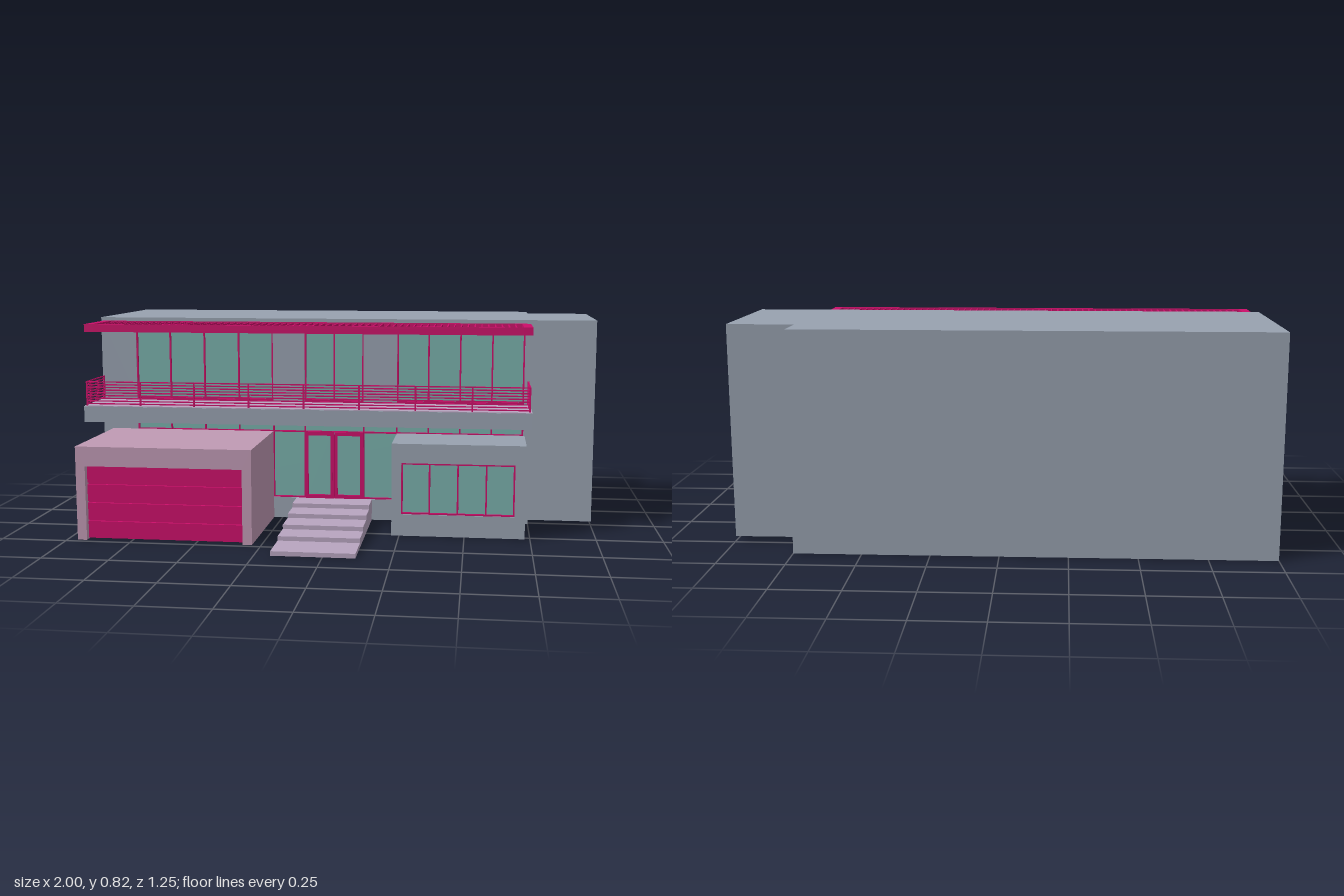
import * as THREE from 'three';

const mat = (color) => new THREE.MeshStandardMaterial({ color });
const wall = mat(0x98a2b0), glass = mat(0x79b0ab), crimson = mat(0xcc0e6a);
const mauve = mat(0xc09ab4), lilac = mat(0xb8a5c0);
const SKIN = 0.03; // thickness of the pierced facade panels
const RECESS = 0.012; // how far the glass sits behind the wall face

// Box given by its two opposite corners
function box(parent, name, material, x0, x1, y0, y1, z0, z1) {
  const mesh = new THREE.Mesh(new THREE.BoxGeometry(x1 - x0, y1 - y0, z1 - z0), material);
  mesh.position.set((x0 + x1) / 2, (y0 + y1) / 2, (z0 + z1) / 2);
  mesh.name = name;
  parent.add(mesh);
  return mesh;
}

function group(parent, name) {
  const g = new THREE.Group();
  g.name = name;
  parent.add(g);
  return g;
}

const outline = (T, x0, x1, y0, y1) => new T([
  new THREE.Vector2(x0, y0), new THREE.Vector2(x1, y0),
  new THREE.Vector2(x1, y1), new THREE.Vector2(x0, y1),
]);

// Glass with a thin frame; xs lists the upright positions from edge to edge
function windowUnit(parent, name, xs, y0, y1, transoms = []) {
  const g = group(parent, name), t = 0.003;
  const x0 = xs[0], x1 = xs[xs.length - 1];
  box(g, 'glass', glass, x0, x1, y0, y1, -SKIN, -RECESS);
  xs.forEach((x) => {
    const c = Math.min(Math.max(x, x0 + t), x1 - t);
    box(g, 'mullion', crimson, c - t, c + t, y0, y1, -RECESS, -0.003);
  });
  [y0 + t, y1 - t, ...transoms].forEach((y) =>
    box(g, 'frameRail', crimson, x0, x1, y - t, y + t, -RECESS, -0.004));
}

// Wall panel in the xy plane with its face at z = 0, pierced for its windows
function facade(parent, name, rect, windows) {
  const g = group(parent, name);
  const shape = outline(THREE.Shape, ...rect);
  windows.forEach(({ xs, y0, y1, transoms }) => {
    shape.holes.push(outline(THREE.Path, xs[0], xs[xs.length - 1], y0, y1));
    windowUnit(g, 'window', xs, y0, y1, transoms);
  });
  const geo = new THREE.ExtrudeGeometry(shape, { depth: SKIN, bevelEnabled: false });
  const mesh = new THREE.Mesh(geo.translate(0, 0, -SKIN), wall);
  mesh.name = 'wallPanel';
  g.add(mesh);
  return g;
}

const split = (a, b, n) => Array.from({ length: n + 1 }, (_, i) => a + ((b - a) * i) / n);

export function createModel() {
  const house = new THREE.Group();
  house.name = 'house';

  // Main volume with its pierced front
  box(house, 'mainVolume', wall, -1, 0.75, 0, 0.82, -0.625, 0.02 - SKIN);
  const left = split(-0.855, -0.285, 4), right = split(0.22, 0.725, 4);
  facade(house, 'frontFacade', [-1, 0.75, 0, 0.82], [
    { xs: left, y0: 0.485, y1: 0.765 },
    { xs: split(-0.155, 0.085, 2), y0: 0.485, y1: 0.765 },
    { xs: right, y0: 0.485, y1: 0.765 },
    { xs: [...left, -0.155, 0.085, ...right], y0: 0.085, y1: 0.415, transoms: [0.36] },
  ]).position.z = 0.02;

  // Side wing, raised a little, with windows on its outer wall
  box(house, 'sideWing', wall, 0.74, 1 - SKIN, 0.018, 0.82, -0.485, 0.02);
  const side = facade(house, 'sideFacade', [-0.02, 0.485, 0.018, 0.82], [
    { xs: split(0.015, 0.445, 4), y0: 0.085, y1: 0.36 },
    { xs: split(0.015, 0.445, 4), y0: 0.485, y1: 0.765 },
  ]);
  side.rotation.y = Math.PI / 2;
  side.position.x = 1;

  // Front bay
  box(house, 'frontBay', wall, 0.22, 0.73, 0, 0.36, 0.02, 0.27 - SKIN);
  facade(house, 'bayFacade', [0.22, 0.73, 0, 0.36], [
    { xs: split(0.257, 0.69, 4), y0: 0.085, y1: 0.285 },
  ]).position.z = 0.27;

  // Garage shell, open below, with a sectional door
  const garage = group(house, 'garage');
  const arch = new THREE.Shape([
    [-0.96, 0], [-0.924, 0], [-0.924, 0.285], [-0.321, 0.285],
    [-0.321, 0], [-0.285, 0], [-0.285, 0.36], [-0.96, 0.36],
  ].map(([x, y]) => new THREE.Vector2(x, y)));
  const shell = new THREE.Mesh(
    new THREE.ExtrudeGeometry(arch, { depth: 0.46, bevelEnabled: false }), mauve);
  shell.position.z = 0.02;
  shell.name = 'garageShell';
  garage.add(shell);
  box(garage, 'doorBacking', crimson, -0.924, -0.321, 0.002, 0.285, 0.438, 0.446);
  for (let i = 0; i < 4; i++) {
    const y = i * 0.0713;
    box(garage, 'doorPanel', crimson, -0.924, -0.321, y + 0.003, y + 0.0683, 0.446, 0.456);
  }

  // Double entrance door
  const entrance = group(house, 'entranceDoor');
  [[-0.155, -0.035, -0.043], [-0.035, 0.085, -0.027]].forEach(([x0, x1, handleX]) => {
    const a = x0 + 0.014, b = x1 - 0.014;
    box(entrance, 'doorGlass', glass, a, b, 0.1, 0.345, 0.008, 0.014);
    [[x0 + 0.001, a, 0.085, 0.36], [b, x1 - 0.001, 0.085, 0.36],
      [a, b, 0.085, 0.1], [a, b, 0.345, 0.36]].forEach((r) =>
      box(entrance, 'doorFrame', crimson, ...r, 0.004, 0.022));
    box(entrance, 'handle', crimson, handleX - 0.003, handleX + 0.003, 0.16, 0.265, 0.026, 0.032);
    [0.175, 0.25].forEach((y) =>
      box(entrance, 'handleMount', crimson, handleX - 0.002, handleX + 0.002, y - 0.003, y + 0.003, 0.02, 0.027));
  });

  // Entrance steps
  const steps = group(house, 'entranceSteps');
  const edges = [0.02, 0.13, 0.24, 0.355, 0.467, 0.62];
  for (let i = 0; i < 5; i++) {
    box(steps, 'step', lilac, -0.19, 0.12, 0, 0.017 * (5 - i), edges[i], edges[i + 1]);
  }

  // Balcony slab and floor
  box(house, 'balconySlab', wall, -1, 0.75, 0.42, 0.482, 0.02, 0.255);
  box(house, 'balconyFloor', lilac, -0.998, 0.748, 0.482, 0.485, 0.02, 0.253);

  // Balcony railing: posts and horizontal bars round three sides
  const railing = group(house, 'balconyRailing');
  const rx0 = -0.99, rx1 = 0.74, rz0 = 0.036, rz1 = 0.244, r = 0.0022;
  const post = (x, z) => box(railing, 'railingPost', crimson, x - 0.003, x + 0.003, 0.485, 0.58, z - 0.003, z + 0.003);
  split(rx0, rx1, 8).forEach((x) => post(x, rz1));
  [rx0, rx1].forEach((x) => post(x, rz0));
  for (let i = 0; i < 9; i++) {
    const y = 0.492 + i * 0.0108;
    box(railing, 'frontBar', crimson, rx0, rx1, y - r, y + r, rz1 - r, rz1 + r);
    [rx0, rx1].forEach((x) =>
      box(railing, 'sideBar', crimson, x - r, x + r, y - r, y + r, rz0, rz1));
  }

  // Slatted sunshade over the balcony
  const shade = group(house, 'sunshade');
  const y0 = 0.776, y1 = 0.806;
  box(shade, 'endBeam', crimson, -0.99, -0.956, y0, y1, 0.02, 0.256);
  box(shade, 'endBeam', crimson, 0.711, 0.745, y0, y1, 0.02, 0.256);
  box(shade, 'frontBeam', crimson, -0.956, 0.711, y0, y1, 0.244, 0.256);
  box(shade, 'backBeam', crimson, -0.956, 0.711, y0, y1, 0.02, 0.026);
  split(-0.956, 0.711, 64).slice(1, -1).forEach((x) =>
    box(shade, 'slat', crimson, x - 0.0025, x + 0.0025, y0 + 0.003, y1 - 0.003, 0.026, 0.244));

  return house;
}
